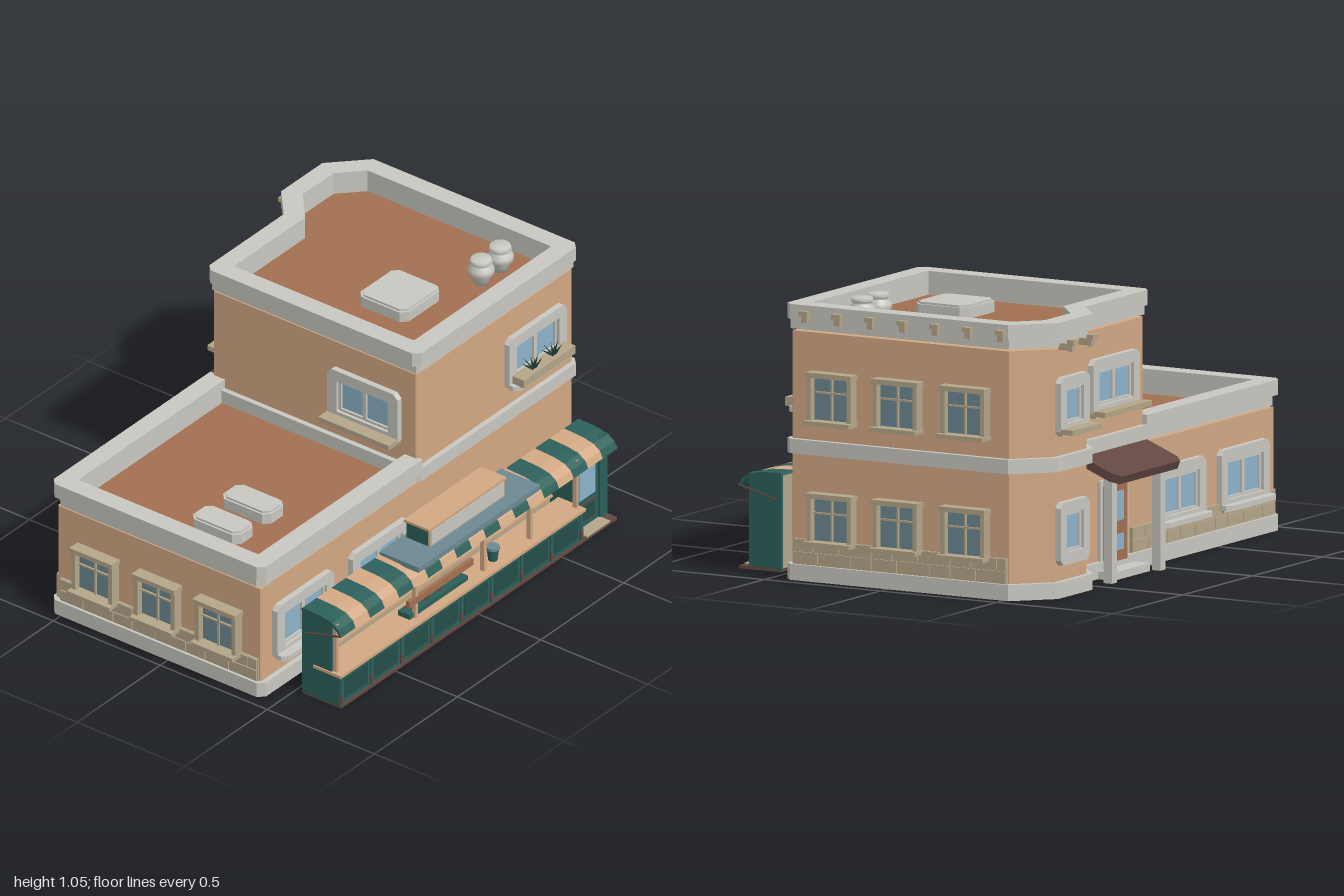
import * as THREE from 'three';

const mat = (name, color) => Object.assign(new THREE.MeshStandardMaterial({ color }), { name });

export function createModel() {
  const M = {
    wall: mat('peach plaster', 0xd2a884), trim: mat('pale grey stone', 0xc8c7c0),
    roof: mat('terracotta', 0xa26f51), khaki: mat('khaki stone', 0xb5a689),
    green: mat('stall green', 0x2c5f59), maroon: mat('dark maroon', 0x634742),
    glass: mat('sky glass', 0x8cb3cb), slate: mat('slate blue', 0x6d8993),
    plant: mat('leaf green', 0x1f3d35), dark: mat('panel green', 0x244e49),
  };
  const root = new THREE.Group();
  root.name = 'cornerBuilding';

  const add = (name, geo, m, x = 0, y = 0, z = 0, parent = root) => {
    const mesh = new THREE.Mesh(geo, m);
    mesh.name = name;
    mesh.position.set(x, y, z);
    parent.add(mesh);
    return mesh;
  };
  // box given by its min/max corners
  const box = (name, m, x0, x1, y0, y1, z0, z1, parent = root) =>
    add(name, new THREE.BoxGeometry(x1 - x0, y1 - y0, z1 - z0), m, (x0 + x1) / 2, (y0 + y1) / 2, (z0 + z1) / 2, parent);
  const group = (name, x, y, z, ry = 0, parent = root) => {
    const g = new THREE.Group();
    g.name = name;
    g.position.set(x, y, z);
    g.rotation.y = ry;
    parent.add(g);
    return g;
  };
  // vertical prism from [x, z] points, with an optional hole
  const prism = (name, m, pts, y0, y1, hole, parent = root) => {
    const v = p => p.map(([x, z]) => new THREE.Vector2(x, -z));
    const s = new THREE.Shape(v(pts));
    if (hole) s.holes.push(new THREE.Path(v(hole)));
    const geo = new THREE.ExtrudeGeometry(s, { depth: y1 - y0, bevelEnabled: false });
    geo.rotateX(-Math.PI / 2);
    return add(name, geo, m, 0, y0, 0, parent);
  };
  const chamfered = (x0, x1, z0, z1, c) => [[x0 + c, z1], [x1 - c, z1], [x1, z1 - c], [x1, z0 + c],
    [x1 - c, z0], [x0 + c, z0], [x0, z0 + c], [x0, z1 - c]];

  // footprints, grown outward by o, square corners cut by c
  const tower = (o, c = 0.004) => {
    const k = 0.41 * o;
    return [[-o, 0.42 + o - c], [-o + c, 0.42 + o], [0.935 + o - c, 0.42 + o], [0.935 + o, 0.42 + o - c],
      [0.935 + o, -0.515 - k], [0.81 + k, -0.635 - o], [0.58 - k, -0.635 - o], [0.46 - k, -0.53 - o],
      [-o + c, -0.53 - o], [-o, -0.53 - o + c]];
  };
  const low = (o, c = 0.004) => [[0.01, 0.42 + o], [-0.935 - o + c, 0.42 + o], [-0.935 - o, 0.42 + o - c],
    [-0.935 - o, -0.53 - o + c], [-0.935 - o + c, -0.53 - o], [0.01, -0.53 - o]];
  const lowRim = o => [...low(o, 0.025), [0.01, -0.475], [-0.88, -0.475], [-0.88, 0.365], [0.01, 0.365]];

  // walls, bands, parapets and roofs
  prism('towerWall', M.wall, tower(0), 0.02, 0.93);
  prism('lowWall', M.wall, low(0), 0.02, 0.46);
  prism('towerPlinth', M.trim, tower(0.021, 0.025), 0, 0.06);
  prism('lowPlinth', M.trim, low(0.021, 0.025), 0, 0.06);
  prism('middleBand', M.trim, tower(0.021, 0.025), 0.474, 0.528);
  const inner = tower(-0.055);
  prism('towerCorniceBase', M.trim, tower(0.005), 0.938, 0.976, inner);
  prism('towerParapet', M.trim, tower(0.021, 0.025), 0.975, 1.032, inner);
  prism('towerRoof', M.roof, tower(-0.05), 0.925, 0.942);
  prism('lowCorniceBase', M.trim, lowRim(0.005), 0.468, 0.508);
  prism('lowParapet', M.trim, lowRim(0.021), 0.507, 0.565);
  prism('lowRoof', M.roof, low(-0.05), 0.455, 0.472);

  // roof boxes and vent pots
  [[0.235, 0.467, 0.942], [-0.77, -0.655, 0.472], [-0.59, -0.47, 0.472]].forEach(([a, b, y]) => {
    prism('roofHatch', M.trim, chamfered(a, b, -0.045, 0.182, 0.025), y, y + 0.042);
    prism('roofHatchLid', M.trim, chamfered(a + 0.008, b - 0.008, -0.037, 0.174, 0.022), y + 0.04, y + 0.05);
  });
  const pot = [[0, 0], [0.03, 0], [0.032, 0.02], [0.05, 0.045], [0.05, 0.065], [0.036, 0.08], [0.036, 0.088],
    [0.044, 0.092], [0.038, 0.106], [0, 0.107]].map(p => new THREE.Vector2(...p));
  [0.64, 0.755].forEach(x => add('ventPot', new THREE.LatheGeometry(pot, 16), M.trim, x, 0.941, 0.225));

  // cornice brackets
  const bracket = (x, y, z, ry) => {
    const g = group('corniceBracket', x, y, z, ry);
    box('bracketHead', M.khaki, -0.018, 0.018, 0.026, 0.044, 0, 0.027, g);
    box('bracketFoot', M.khaki, -0.012, 0.012, 0, 0.028, 0, 0.018, g);
  };
  for (let i = 0; i < 7; i++) bracket(0.953, 0.968, 0.347 - i * 0.1405, Math.PI / 2);
  [0.63, 0.77].forEach(x => {
    bracket(x, 0.922, -0.676, Math.PI);
    box('bracketStem', M.khaki, x - 0.012, x + 0.012, 0.925, 0.95, -0.68, -0.635);
  });

  // window with a grey stone surround; origin is the bottom centre on the wall
  const stoneWindow = (w, h, x, y, z, ry, sill, panes = 2) => {
    const g = group('stoneWindow', x, y, z, ry), m = 0.045, a = w / 2 - m;
    const frame = prism('windowSurround', M.trim, chamfered(-w / 2, w / 2, -h, 0, 0.02), 0, 0.024,
      chamfered(-a, a, -h + m, -m, 0.003), g);
    frame.rotation.x = Math.PI / 2;
    box('windowGlass', M.glass, -a, a, m, h - m, -0.005, 0.003, g);
    [m, h - m - 0.01].forEach(v => box('sashRail', M.trim, -a, a, v, v + 0.01, 0, 0.012, g));
    for (let i = 0; i <= panes; i++) {
      const c = -a + 0.005 + i * (2 * a - 0.01) / panes, t = i % panes ? 0.009 : 0.006;
      box('sashStile', M.trim, c - t, c + t, m, h - m, 0, 0.012, g);
    }
    if (sill) prism('windowSill', sill, chamfered(-w / 2, w / 2, 0, sill === M.trim ? 0.062 : 0.077,
      sill === M.trim ? 0.02 : 0.002), 0.01, 0.03, null, g);
    return g;
  };
  [-0.695, -0.24].forEach(x => {
    stoneWindow(0.345, 0.235, x, 0.12, 0.42, 0, M.trim);
    stoneWindow(0.345, 0.235, x, 0.12, -0.53, Math.PI, M.trim);
  });
  stoneWindow(0.335, 0.22, 0.23, 0.602, -0.53, Math.PI, M.khaki);
  stoneWindow(0.33, 0.22, 0, 0.602, 0.185, -Math.PI / 2, M.khaki);
  stoneWindow(0.21, 0.22, 0.7, 0.602, -0.635, Math.PI, M.khaki, 1);
  stoneWindow(0.21, 0.235, 0.7, 0.12, -0.635, Math.PI, null, 1);
  const planted = stoneWindow(0.345, 0.22, 0.7, 0.602, 0.42, 0, M.trim);

  // window planter with leaves
  box('planter', M.khaki, -0.155, 0.155, 0.028, 0.062, 0.022, 0.078, planted);
  [-0.06, 0.06].forEach(px => {
    for (let i = 0; i < 9; i++) {
      const leaf = add('leaf', new THREE.ConeGeometry(0.007, 0.06, 4).translate(0, 0.03, 0), M.plant, px, 0.055, 0.05, planted);
      leaf.rotation.set(0, i * 2.4, 0.25 + (i % 3) * 0.35);
    }
  });

  // boxed side windows
  const sideWindow = (x, y, z, ry) => {
    const g = group('sideWindow', x, y, z, ry);
    box('sideGlass', M.slate, -0.083, 0.083, 0.015, 0.18, 0, 0.015, g);
    [-1, 1].forEach(s => box('jamb', M.khaki, s * 0.086 - 0.009, s * 0.086 + 0.009, 0.015, 0.185, 0, 0.042, g));
    box('lintel', M.khaki, -0.099, 0.099, 0.176, 0.195, 0, 0.05, g);
    box('sill', M.khaki, -0.099, 0.099, 0, 0.016, 0, 0.065, g);
    box('mullion', M.khaki, -0.004, 0.004, 0.015, 0.18, 0.01, 0.023, g);
    box('transom', M.khaki, -0.08, 0.08, 0.116, 0.123, 0.01, 0.023, g);
  };
  [0.237, -0.047, -0.338].forEach(z => {
    sideWindow(0.935, 0.14, z, Math.PI / 2);
    sideWindow(0.935, 0.592, z, Math.PI / 2);
    sideWindow(-0.935, 0.14, z, -Math.PI / 2);
  });

  // brick courses above the plinth
  const bricks = (len, x, z, ry) => {
    const g = group('brickCourse', x, 0.06, z, ry);
    box('brickBacking', M.khaki, -len / 2, len / 2, 0, 0.095, 0, 0.009, g);
    [0.004, 0.051].forEach((y, row) => {
      let p = -len / 2;
      for (let i = 0; p < len / 2 - 0.01; i++) {
        const e = Math.min(p + [0.11, 0.14, 0.09][(i + row * 2) % 3], len / 2);
        box('brick', M.khaki, p + 0.002, e - 0.002, y, y + 0.043, 0, 0.015, g);
        p = e;
      }
    });
  };
  bricks(0.92, 0.935, -0.05, Math.PI / 2);
  bricks(0.92, -0.935, -0.05, -Math.PI / 2);
  bricks(1.03, -0.415, -0.53, Math.PI);

  // back door and porch
  const door = group('backDoor', 0.23, 0.05, -0.53, Math.PI);
  box('doorFrame', M.trim, -0.1, 0.1, 0, 0.31, 0, 0.014, door);
  box('doorLeaf', M.roof, -0.08, 0.08, 0, 0.29, 0, 0.022, door);
  box('doorGlass', M.glass, -0.05, 0.05, 0.15, 0.26, 0.02, 0.025, door);
  box('doorPanel', M.glass, -0.05, 0.05, 0.04, 0.1, 0.02, 0.025, door);
  box('doorStep', M.trim, -0.13, 0.13, -0.05, -0.02, 0, 0.09, door);
  const canopy = prism('porchCanopy', M.maroon, [[0, 0], [0, -0.15], [0.025, -0.18], [0.44, -0.18], [0.465, -0.15], [0.465, 0]], -0.015, 0.018);
  canopy.position.set(0, 0.445, -0.525);
  canopy.rotation.x = -0.38;
  [0.06, 0.405].forEach(x => box('porchPost', M.trim, x - 0.018, x + 0.018, 0, 0.41, -0.65, -0.614));

  // market stall: base, walls and counter
  const stall = group('stall', 0, 0, 0);
  const sb = (...a) => box(...a, stall);
  sb('stallFloor', M.maroon, -0.83, 0.83, 0, 0.012, 0.532, 0.712);
  sb('stallBack', M.khaki, -0.815, 0.815, 0.01, 0.362, 0.533, 0.546);
  [-0.83, 0.64, 0.815].forEach(x => sb('stallSide', M.green, x, x + 0.015, 0.005, 0.362, 0.531, 0.665));
  [-0.83, 0.785].forEach(x => sb('cornerPost', M.green, x, x + (x < 0 ? 0.02 : 0.045), 0.005, 0.362, 0.64, 0.668));
  sb('counter', M.green, -0.83, 0.635, 0.012, 0.133, 0.6, 0.705);
  sb('counterTop', M.wall, -0.835, 0.64, 0.133, 0.145, 0.585, 0.715);
  for (let i = 0; i < 9; i++) {
    const x = -0.82 + i * 0.18;
    sb('counterRib', M.green, x - 0.006, x + 0.006, 0.012, 0.133, 0.7, 0.71);
    sb('counterRibFoot', M.maroon, x - 0.007, x + 0.007, 0.02, 0.055, 0.7, 0.713);
    if (i < 8) sb('counterPanel', M.dark, x + 0.02, x + 0.16, 0.03, 0.115, 0.7, 0.707);
  }
  sb('counterEnd', M.maroon, 0.63, 0.638, 0.015, 0.058, 0.672, 0.705);

  // stall door
  sb('stallDoor', M.green, 0.655, 0.785, 0.012, 0.31, 0.645, 0.657);
  sb('stallDoorGlass', M.glass, 0.67, 0.768, 0.135, 0.285, 0.655, 0.66);
  sb('stallDoorPanel', M.maroon, 0.67, 0.768, 0.035, 0.115, 0.655, 0.66);
  sb('stallDoorInset', M.dark, 0.678, 0.76, 0.043, 0.107, 0.656, 0.664);
  sb('stallStep', M.khaki, 0.65, 0.79, 0.01, 0.016, 0.66, 0.712);

  // striped awning with its stays
  const arc = [[0.532, 0.372], [0.62, 0.368], [0.67, 0.358], [0.7, 0.338], [0.713, 0.31]];
  const section = new THREE.Shape([...arc, ...arc.map(([z, y]) => [z - 0.008, y - (z > 0.71 ? 0 : 0.01)]).reverse()]
    .map(([z, y]) => new THREE.Vector2(-z, y)));
  const stripe = new THREE.ExtrudeGeometry(section, { depth: 1.66 / 19, bevelEnabled: false }).rotateY(Math.PI / 2);
  for (let i = 0; i < 19; i++) add('awningStripe', stripe, i % 2 ? M.wall : M.green, -0.83 + i * 1.66 / 19, 0, 0, stall);
  [-0.833, 0.833].forEach(x => {
    const stay = add('awningStay', new THREE.BoxGeometry(0.006, 0.006, 0.17), M.maroon, x, 0.293, 0.63, stall);
    stay.rotation.x = -0.27;
  });

  // raised centre slab and blank sign box
  sb('canopySlab', M.slate, -0.365, 0.365, 0.362, 0.384, 0.53, 0.714);
  sb('signBox', M.green, -0.225, 0.22, 0.384, 0.455, 0.548, 0.655);
  sb('signTop', M.wall, -0.235, 0.23, 0.455, 0.465, 0.543, 0.662);
  sb('signFrame', M.khaki, -0.23, 0.225, 0.384, 0.455, 0.652, 0.659);
  sb('signFace', M.trim, -0.22, 0.215, 0.391, 0.45, 0.655, 0.662);

  // counter posts and stall fittings
  [-0.815, -0.34, 0.07, 0.35, 0.625].forEach(x => sb('counterPost', M.wall, x - 0.007, x + 0.007, 0.145, 0.35, 0.668, 0.686));
  sb('hangingBoard', M.roof, -0.39, -0.005, 0.21, 0.237, 0.675, 0.69);
  sb('displayTray', M.green, -0.37, -0.02, 0.145, 0.165, 0.62, 0.675);
  sb('backWindow', M.glass, -0.06, 0.06, 0.165, 0.325, 0.543, 0.552);
  sb('backShelf', M.wall, -0.8, 0.62, 0.15, 0.16, 0.546, 0.575);
  sb('menuFrame', M.khaki, 0.105, 0.14, 0.225, 0.275, 0.545, 0.555);
  sb('menuFace', M.trim, 0.111, 0.134, 0.232, 0.268, 0.55, 0.559);
  [-0.235, -0.165].forEach(x => {
    add('bottle', new THREE.CylinderGeometry(0.01, 0.012, 0.035, 10), M.maroon, x, 0.182, 0.65, stall);
    add('bottleNeck', new THREE.CylinderGeometry(0.004, 0.008, 0.015, 10), M.khaki, x, 0.205, 0.65, stall);
  });
  add('counterPot', new THREE.CylinderGeometry(0.024, 0.018, 0.05, 12), M.green, 0.15, 0.17, 0.66, stall);
  add('counterPotRim', new THREE.CylinderGeometry(0.026, 0.026, 0.012, 12), M.slate, 0.15, 0.198, 0.66, stall);
  return root;
}
